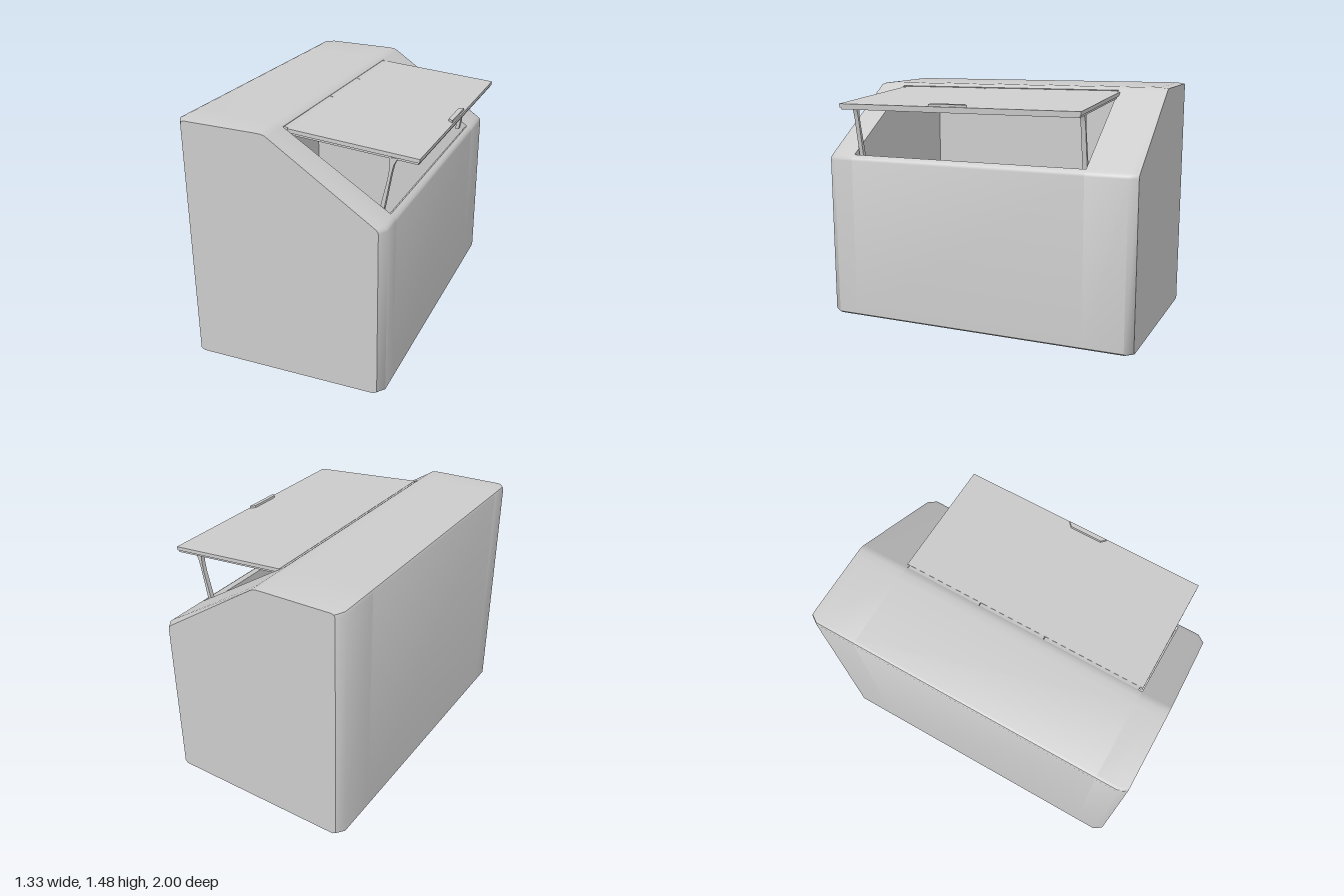
import * as THREE from 'three';
import { toCreasedNormals } from 'three/addons/utils/BufferGeometryUtils.js';

const material = new THREE.MeshStandardMaterial({ color: 0xcccccc });
const OPEN_MIN = -0.7, OPEN_MAX = 0.82; // lid opening along z

function add(parent, name, geometry) {
  const mesh = new THREE.Mesh(geometry, material);
  mesh.name = name;
  parent.add(mesh);
  return mesh;
}

// Side profile (x, y) extruded from z0 to z1
function extrude(points, z0, z1, steps = 1) {
  const shape = new THREE.Shape(points.map(([x, y]) => new THREE.Vector2(x, y)));
  const g = new THREE.ExtrudeGeometry(shape, { depth: z1 - z0, steps, bevelEnabled: false });
  return g.translate(0, 0, z0);
}

// Outer outline from the front lip round to the upper edge of the opening
const OUTLINE = [
  [-0.11, 1.449], [-0.128, 1.461], [-0.155, 1.468], [-0.2, 1.47], [-0.645, 1.48], [-0.662, 1.475], [-0.668, 1.46],
  [-0.668, 0.014], [-0.645, 0], [0.522, 0], [0.542, 0.014],
  [0.542, 1.01], [0.538, 1.024], [0.525, 1.036], [0.51, 1.046],
];

// Solid end of the cabinet whose outer rim is drawn in to chamfer the corners
function endBlock(inner, outer) {
  const z0 = Math.min(inner, outer), z1 = Math.max(inner, outer);
  const g = extrude(OUTLINE, z0, z1, 2);
  const p = g.attributes.position, mid = (z0 + z1) / 2;
  for (let i = 0; i < p.count; i++) {
    const z = p.getZ(i);
    if (Math.abs(z - outer) < 1e-4) {
      p.setX(i, -0.063 + (p.getX(i) + 0.063) * 0.945);
      p.setY(i, 0.7 + (p.getY(i) - 0.7) * 0.992);
    } else if (Math.abs(z - mid) < 1e-4) {
      p.setZ(i, outer - Math.sign(outer) * 0.05);
    }
  }
  return toCreasedNormals(g, 0.85);
}

export function createModel() {
  const model = new THREE.Group();
  model.name = 'storageBin';

  // Cabinet: solid ends and a hollow middle that is open along the slope
  const cabinet = new THREE.Group();
  cabinet.name = 'cabinet';
  model.add(cabinet);
  add(cabinet, 'leftEnd', endBlock(OPEN_MIN, -1));
  add(cabinet, 'rightEnd', endBlock(OPEN_MAX, 1));
  const liner = [[0.49, 1.03], [0.49, 0.06], [-0.62, 0.06], [-0.62, 1.43], [-0.13, 1.42]];
  add(cabinet, 'hollowMiddle', toCreasedNormals(extrude([...OUTLINE, ...liner], OPEN_MIN, OPEN_MAX), 0.85));

  // Hinge strip in three lengths along the upper edge of the opening
  const cuts = [-0.7, -0.22, 0.2, 0.8];
  for (let i = 0; i < 3; i++) {
    const length = cuts[i + 1] - cuts[i] - 0.004;
    const hinge = add(model, 'hinge', new THREE.BoxGeometry(0.045, 0.016, length));
    hinge.position.set(-0.1, 1.433, (cuts[i] + cuts[i + 1]) / 2);
    hinge.rotation.z = -0.25;
  }

  // Propped-open lid: outer skin over a slightly smaller inner panel
  const lid = new THREE.Group();
  lid.name = 'lid';
  lid.position.set(-0.088, 1.44, 0.05);
  lid.rotation.z = -0.088;
  model.add(lid);
  add(lid, 'lidSkin', new THREE.BoxGeometry(0.75, 0.022, 1.53)).position.set(0.375, -0.011, 0);
  add(lid, 'lidPanel', new THREE.BoxGeometry(0.742, 0.014, 1.514)).position.set(0.373, -0.028, 0);

  // Raised grip near the free edge of the lid
  const grip = new THREE.Shape([[0, -0.125], [0.028, -0.125], [0.028, 0.125], [0, 0.125]]
    .map(([x, z], i) => new THREE.Vector2(x, z * (i % 3 ? 1 : 0.8))));
  const gripGeometry = new THREE.ExtrudeGeometry(grip, { depth: 0.014, bevelEnabled: false });
  gripGeometry.rotateX(-Math.PI / 2);
  add(lid, 'handle', gripGeometry).position.set(0.714, 0, 0.035);

  // Flared props holding the lid up, one at each end of the opening
  const prop = [
    [0.437, 1.03], [0.462, 1.03], [0.475, 1.1], [0.506, 1.27], [0.518, 1.32], [0.54, 1.36],
    [0.495, 1.36], [0.494, 1.3], [0.485, 1.24], [0.45, 1.09],
  ];
  for (const z of [OPEN_MIN + 0.008, OPEN_MAX - 0.036]) {
    add(model, 'lidProp', toCreasedNormals(extrude(prop, z, z + 0.028), 0.6));
  }
  return model;
}
